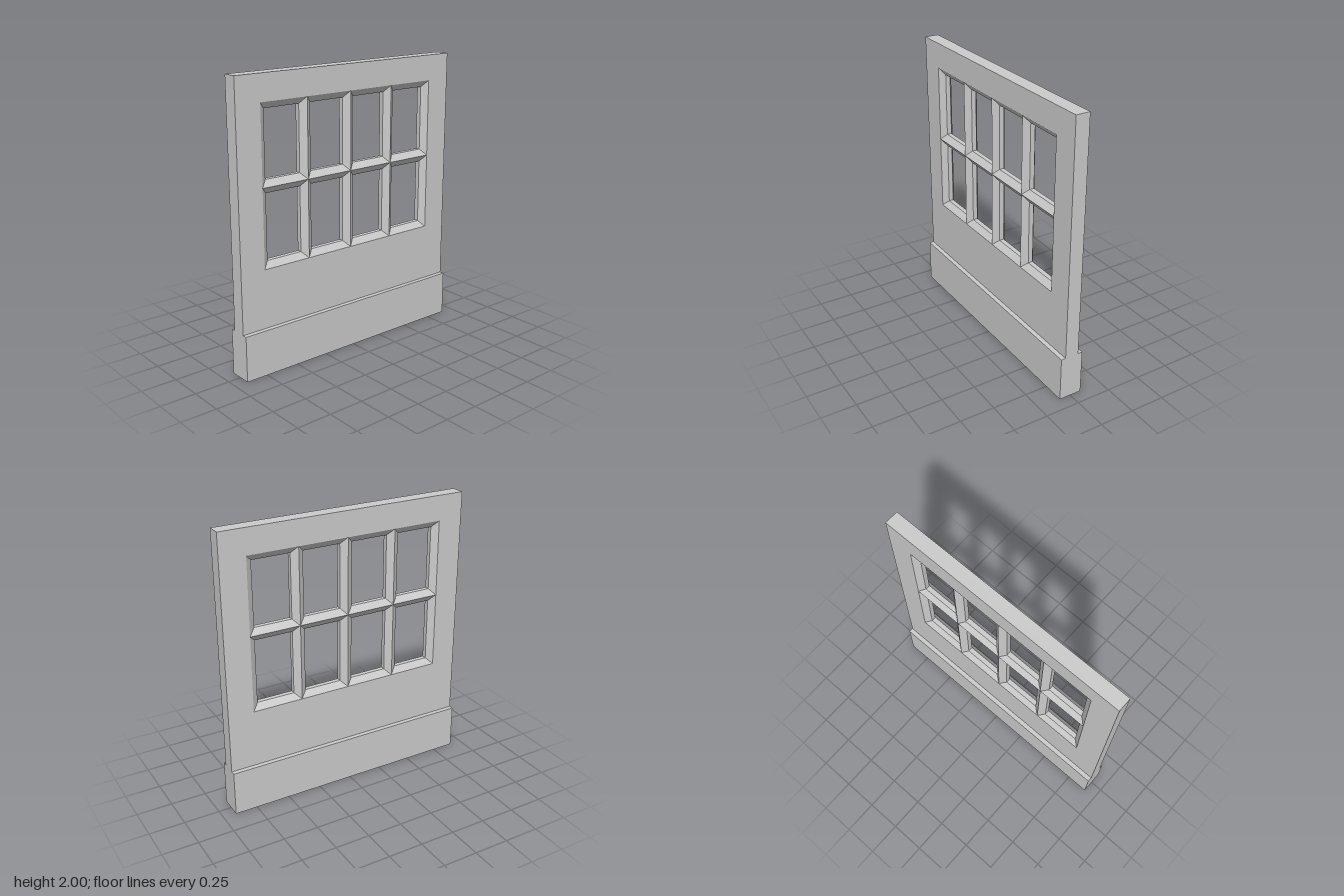
import * as THREE from 'three';

const material = new THREE.MeshStandardMaterial({ color: 0xcccccc, flatShading: true });

const HALF_W = 0.908, TOP = 2, BASE_H = 0.32;
const HALF_T = 0.05, BASE_HALF_T = 0.083;
const OPEN = { left: -0.725, right: 0.725, bottom: 0.73, top: 1.82 };
const COLS = 4, ROWS = 2, BAR = 0.045, REVEAL = 0.017;

function addMesh(parent, geometry, name) {
  const mesh = new THREE.Mesh(geometry, material);
  mesh.name = name;
  parent.add(mesh);
  return mesh;
}

function rectPoints(x0, y0, x1, y1) {
  return [[x0, y0], [x1, y0], [x1, y1], [x0, y1]].map(([x, y]) => new THREE.Vector2(x, y));
}

// Mitred lining of one pane: front bevel, flat reveal, back bevel
function paneLining(w, h) {
  const sections = [[0, HALF_T], [BAR, REVEAL], [BAR, -REVEAL], [0, -HALF_T]];
  const rings = sections.map(([inset, z]) =>
    rectPoints(inset - w / 2, inset - h / 2, w / 2 - inset, h / 2 - inset)
      .map((p) => [p.x, p.y, z]));
  const positions = [];
  for (let k = 0; k < rings.length - 1; k++) {
    for (let i = 0; i < 4; i++) {
      const j = (i + 1) % 4;
      const a = rings[k][i], b = rings[k][j], c = rings[k + 1][j], d = rings[k + 1][i];
      positions.push(...a, ...b, ...c, ...a, ...c, ...d);
    }
  }
  const geometry = new THREE.BufferGeometry();
  geometry.setAttribute('position', new THREE.Float32BufferAttribute(positions, 3));
  geometry.computeVertexNormals();
  return geometry;
}

export function createModel() {
  const model = new THREE.Group();
  model.name = 'windowWall';

  // Wall panel with the window opening
  const wall = new THREE.Shape(rectPoints(-HALF_W, BASE_H, HALF_W, TOP));
  wall.holes.push(new THREE.Path(rectPoints(OPEN.left, OPEN.bottom, OPEN.right, OPEN.top).reverse()));
  const panel = new THREE.ExtrudeGeometry(wall, { depth: HALF_T * 2, bevelEnabled: false });
  panel.translate(0, 0, -HALF_T);
  addMesh(model, panel, 'wallPanel');

  // Thicker plinth along the foot
  const plinth = new THREE.BoxGeometry(HALF_W * 2, BASE_H, BASE_HALF_T * 2);
  addMesh(model, plinth, 'plinth').position.y = BASE_H / 2;

  // Window grid: neighbouring linings meet in the ridges of the glazing bars
  const grid = new THREE.Group();
  grid.name = 'windowGrid';
  const w = (OPEN.right - OPEN.left) / COLS, h = (OPEN.top - OPEN.bottom) / ROWS;
  const lining = paneLining(w, h);
  for (let r = 0; r < ROWS; r++) {
    for (let c = 0; c < COLS; c++) {
      addMesh(grid, lining, `paneFrame${r * COLS + c + 1}`)
        .position.set(OPEN.left + (c + 0.5) * w, OPEN.bottom + (r + 0.5) * h, 0);
    }
  }
  model.add(grid);

  return model;
}
